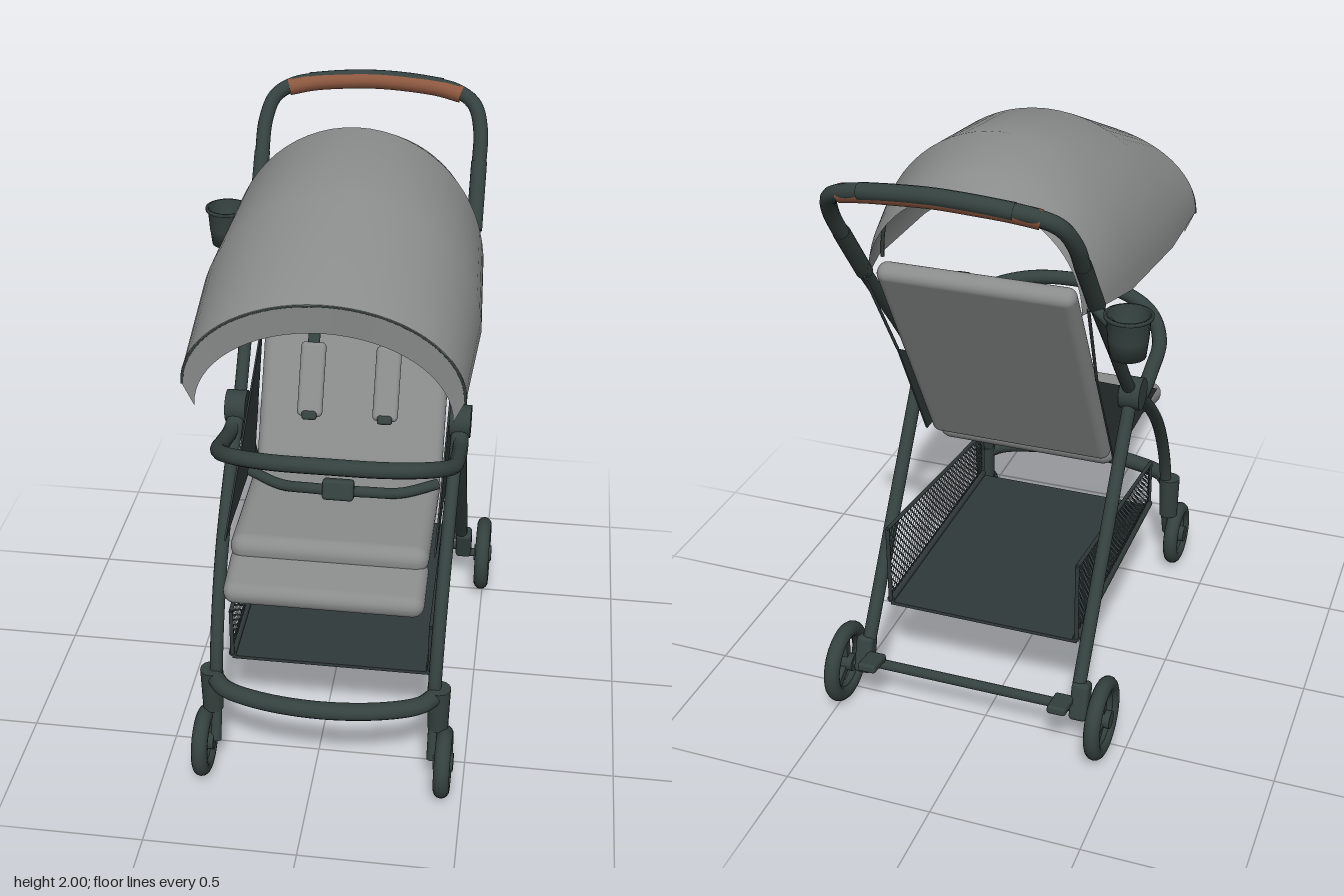
import * as THREE from 'three';
import { RoundedBoxGeometry } from 'three/addons/geometries/RoundedBoxGeometry.js';

const V = (p) => new THREE.Vector3(...p);

export function createModel() {
  const mat = (name, color, side = THREE.FrontSide) => {
    const m = new THREE.MeshStandardMaterial({ color, side });
    m.name = name;
    return m;
  };
  const frame = mat('frame green', 0x34413e, THREE.DoubleSide);
  const fabric = mat('grey fabric', 0x8a8c8c, THREE.DoubleSide);
  const dark = mat('dark fabric', 0x303939, THREE.DoubleSide);
  const leather = mat('brown leather', 0x8c573f);

  const root = new THREE.Group();
  root.name = 'stroller';
  const body = new THREE.Group();
  body.name = 'body';
  body.position.x = 0.034;
  root.add(body);

  const add = (name, geo, m, pos = [0, 0, 0], rot = [0, 0, 0], parent = body) => {
    const mesh = new THREE.Mesh(geo, m);
    mesh.name = name;
    mesh.position.set(...pos);
    mesh.rotation.set(...rot);
    parent.add(mesh);
    return mesh;
  };
  const tube = (name, pts, r, m = frame, seg = 40) =>
    add(name, new THREE.TubeGeometry(new THREE.CatmullRomCurve3(pts.map(V)), seg, r, 12), m);
  // Straight round bar with closed ends
  const bar = (name, a, b, r, m = frame) => {
    const A = V(a), B = V(b), d = B.clone().sub(A);
    const mesh = add(name, new THREE.CylinderGeometry(r, r, d.length(), 16), m);
    mesh.position.copy(A).add(B).multiplyScalar(0.5);
    mesh.quaternion.setFromUnitVectors(new THREE.Vector3(0, 1, 0), d.normalize());
    return mesh;
  };
  const pad = (name, w, h, d, r, m, pos, rx = 0) =>
    add(name, new RoundedBoxGeometry(w, h, d, 4, r), m, pos, [rx, 0, 0]);
  // Half path mirrored across the middle; the last point lies on x = 0
  const mirrored = (half) => [...half, ...half.slice(0, -1).reverse().map(([x, y, z]) => [-x, y, z])];

  // Wheel: tyre, rim, hub and three spokes
  const wheel = (name, x, y, z, R) => {
    const g = new THREE.Group();
    g.name = name;
    g.position.set(x, y, z);
    g.rotation.y = Math.PI / 2;
    body.add(g);
    add('tyre', new THREE.TorusGeometry(R - 0.027, 0.027, 14, 40), frame, [0, 0, 0], [0, 0, 0], g);
    add('rim', new THREE.TorusGeometry(R - 0.05, 0.012, 10, 36), frame, [0, 0, 0], [0, 0, 0], g);
    add('hub', new THREE.CylinderGeometry(0.03, 0.03, 0.066, 20), frame, [0, 0, 0], [Math.PI / 2, 0, 0], g);
    for (let i = 0; i < 3; i++) {
      const a = Math.PI / 2 + i * Math.PI * 2 / 3, l = R - 0.05;
      add('spoke', new THREE.BoxGeometry(l, 0.026, 0.026), frame,
        [Math.cos(a) * l / 2, Math.sin(a) * l / 2, 0], [0, 0, a], g);
    }
  };

  // Basket side: lattice of crossed ribbons in a trapezoid
  const z0 = -0.43, z1 = 0.455, topY = (z) => 0.635 - 0.11 * (z - z0) / (z1 - z0);
  const meshPanel = (x) => {
    const pos = [], nu = 34, nv = 9, w = 0.0032;
    const at = (u, v) => {
      const z = z0 + (z1 - z0) * u / nu;
      return [z, 0.35 + (topY(z) - 0.35) * v / nv];
    };
    const ribbon = ([az, ay], [bz, by]) => {
      const l = Math.hypot(bz - az, by - ay), nz = -(by - ay) / l * w, ny = (bz - az) / l * w;
      const q = [[az + nz, ay + ny], [az - nz, ay - ny], [bz - nz, by - ny], [bz + nz, by + ny]];
      for (const k of [0, 1, 2, 0, 2, 3]) pos.push(x, q[k][1], q[k][0]);
    };
    for (let i = 0; i < nu; i++) for (let j = 0; j < nv; j++) {
      ribbon(at(i, j), at(i + 1, j + 1));
      ribbon(at(i, j + 1), at(i + 1, j));
    }
    const g = new THREE.BufferGeometry();
    g.setAttribute('position', new THREE.Float32BufferAttribute(pos, 3));
    g.computeVertexNormals();
    return g;
  };

  for (const s of [-1, 1]) {
    // Main side tube and rear leg
    tube('sideTube', [[s * .36, .30, .593], [s * .36, .40, .585], [s * .362, .54, .53], [s * .366, .735, .40],
      [s * .37, .93, .19], [s * .372, 1.06, .01], [s * .374, 1.33, -.22], [s * .375, 1.60, -.445]], .022, frame, 60);
    bar('tubeSleeve', [s * .375, 1.56, -.41], [s * .375, 1.75, -.555], .027);
    bar('rearLeg', [s * .375, 1.06, .01], [s * .375, .24, -.525], .023);
    add('pivotCap', new THREE.CylinderGeometry(.055, .055, .07, 28), frame, [s * .378, 1.055, .01], [0, 0, Math.PI / 2]);

    // Front fork and wheel
    add('forkHousing', new THREE.CylinderGeometry(.038, .034, .16, 20), frame, [s * .375, .31, .592]);
    bar('forkArm', [s * .362, .26, .592], [s * .362, .125, .635], .018);
    wheel('frontWheel', s * .40, .12, .637, .12);
    // Rear wheel, its mount and brake pedal
    pad('rearMount', .06, .13, .06, .015, frame, [s * .385, .19, -.54], .3);
    bar('rearStub', [s * .37, .14, -.545], [s * .49, .14, -.545], .016);
    wheel('rearWheel', s * .46, .14, -.545, .14);
    pad('brakePedal', .065, .03, .10, .01, frame, [s * .335, .205, -.60], .15);

    // Fabric side of the seat
    const side = new THREE.Shape([[.48, .825], [-.06, .825], [-.275, 1.235], [0, 1.08]]
      .map(([z, y]) => new THREE.Vector2(-z, y)));
    add('seatSide', new THREE.ExtrudeGeometry(side, { depth: .006, bevelEnabled: false }), dark,
      [s * .338 - .003, 0, 0], [0, Math.PI / 2, 0]);
    bar('sideCord', [s * .338, 1.235, -.273], [s * .36, 1.56, -.445], .005, dark);

    // Harness straps and shoulder pads
    pad('harnessStrap', .04, .40, .008, .003, frame, [s * .127, 1.335, -.112], -.51);
    pad('shoulderPad', .085, .25, .035, .016, fabric, [s * .127, 1.16, -.02], -.51);
    pad('strapEnd', .05, .03, .03, .01, frame, [s * .127, 1.06, .05], -.51);

    // Basket side with its rim
    add('basketMesh', meshPanel(s * .333), dark);
    const c = [[.35, z0], [.35, z1], [topY(z1), z1], [topY(z0), z0]];
    c.forEach(([y, z], i) => {
      const [y2, z2] = c[(i + 1) % 4];
      bar('basketRim', [s * .333, y, z], [s * .333, y2, z2], i === 0 ? .013 : .007, dark);
    });
  }

  // Push handle with leather grip
  tube('handle', mirrored([[.375, 1.60, -.445], [.375, 1.74, -.55], [.372, 1.84, -.622], [.345, 1.91, -.675],
    [.28, 1.945, -.708], [.15, 1.963, -.722], [0, 1.972, -.727]]), .025, frame, 90);
  tube('grip', mirrored([[.30, 1.935, -.698], [.22, 1.95, -.712], [.12, 1.959, -.72], [0, 1.964, -.722]]), .029, leather);
  tube('gripCover', mirrored([[.23, 1.956, -.718], [.12, 1.967, -.726], [0, 1.972, -.728]]), .027);

  // Bumper bar, foot bar and rear axle
  tube('bumperBar', mirrored([[.38, 1.05, .0], [.385, 1.01, .09], [.385, 1.04, .22], [.375, 1.085, .35],
    [.31, 1.135, .46], [.18, 1.167, .53], [0, 1.178, .55]]), .026, frame, 80);
  tube('footBar', mirrored([[.365, .365, .60], [.32, .365, .655], [.2, .365, .70], [0, .365, .722]]), .029, frame, 60);
  bar('rearAxle', [-.39, .165, -.55], [.39, .165, -.55], .017);

  // Basket floor
  add('basketFloor', new THREE.BoxGeometry(.666, .012, z1 - z0), dark, [0, .335, (z0 + z1) / 2]);

  // Seat cushions
  pad('backrest', .64, .89, .07, .032, fabric, [0, 1.215, -.235], -.495);
  pad('seatCushion', .64, .095, .53, .045, fabric, [0, .807, .247]);
  pad('legRest', .64, .08, .21, .038, fabric, [0, .745, .545], .23);

  // Lap belt and buckle
  tube('lapBelt', mirrored([[.315, .875, .13], [.2, .875, .20], [.09, .895, .24], [0, .90, .25]]), .018);
  pad('buckle', .105, .07, .04, .012, frame, [0, .91, .26], -.3);

  // Canopy from arched sections: z, base height, top height, half width
  const sections = [[.61, 1.475, 1.755, .42], [.22, 1.50, 1.925, .44], [-.2, 1.525, 1.985, .42],
    [-.38, 1.54, 1.912, .375], [-.46, 1.545, 1.875, .345]];
  const arch = ([z, b, t, w]) => Array.from({ length: 33 }, (_, i) => {
    const a = Math.PI * i / 32;
    return [w * Math.cos(a), b + (t - b) * Math.sin(a), z];
  });
  const loft = (rows) => {
    const n = rows[0].length, idx = [];
    for (let r = 0; r < rows.length - 1; r++) for (let i = 0; i < n - 1; i++) {
      const a = r * n + i;
      idx.push(a, a + 1, a + n, a + 1, a + n + 1, a + n);
    }
    const g = new THREE.BufferGeometry();
    g.setAttribute('position', new THREE.Float32BufferAttribute(rows.flat(2), 3));
    g.setIndex(idx);
    g.computeVertexNormals();
    return g;
  };
  add('canopy', loft(sections.map(arch)), fabric);
  add('canopyVisor', loft([[.603, 1.395, 1.66, .385], sections[0]].map(arch)), fabric);
  tube('visorPiping', arch([.606, 1.47, 1.75, .418]), .005, dark, 64);
  tube('canopyRib', arch([-.2, 1.52, 1.975, .41]), .006, dark, 64);

  // Cup holder on the right side tube
  const cup = [[0, 0], [.055, 0], [.062, .06], [.066, .12], [.074, .125], [.074, .135], [.064, .135], [.05, .012], [0, .012]]
    .map(([x, y]) => new THREE.Vector2(x, y));
  add('cupHolder', new THREE.LatheGeometry(cup, 32), frame, [-.488, 1.44, -.462]);
  bar('cupArm', [-.43, 1.53, -.455], [-.37, 1.56, -.42], .016);

  return root;
}
